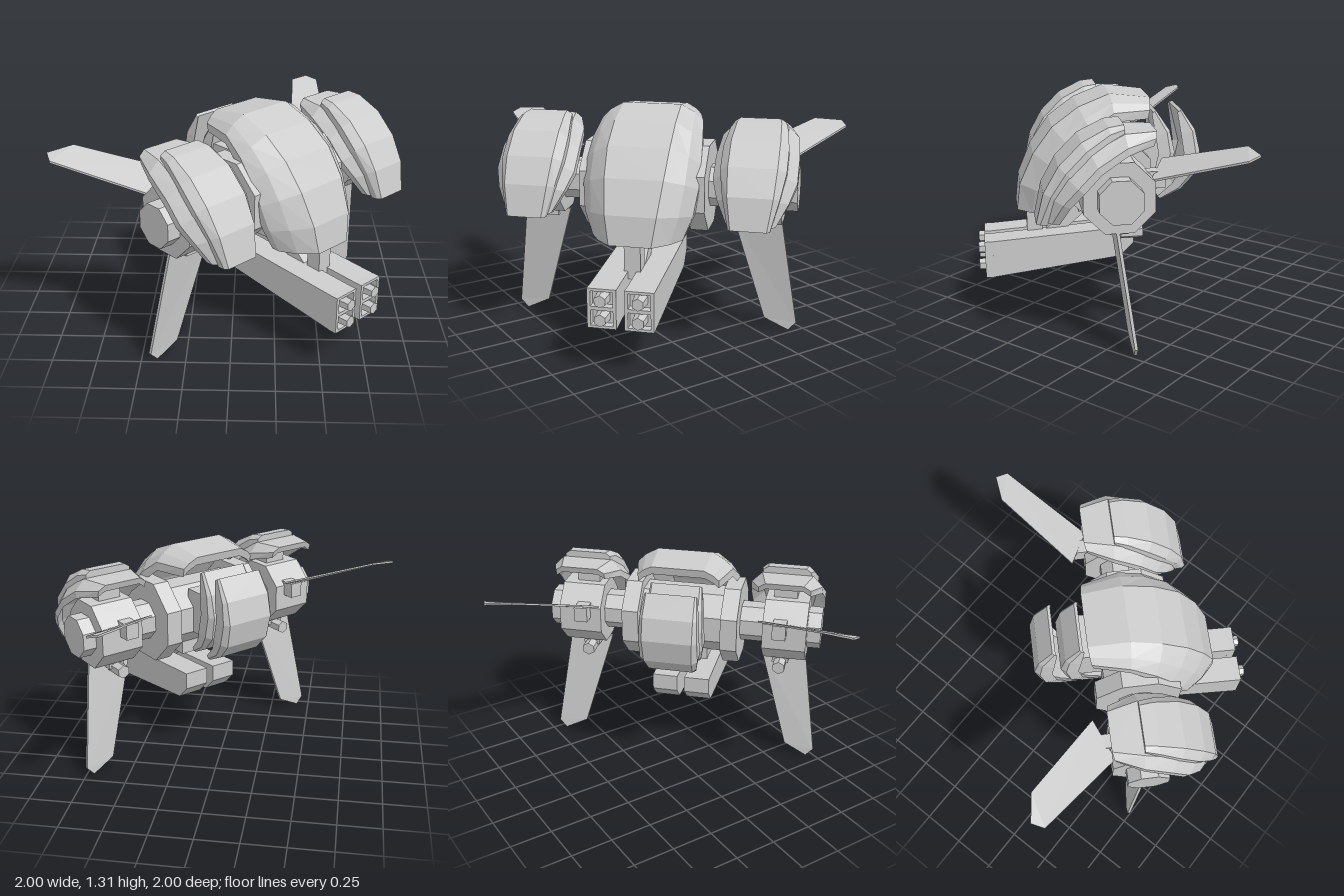
import * as THREE from 'three';

const mat = new THREE.MeshStandardMaterial({ color: 0xcccccc, flatShading: true, side: THREE.DoubleSide });

function add(parent, name, geo, x = 0, y = 0, z = 0) {
  const m = new THREE.Mesh(geo, mat);
  m.name = name;
  m.position.set(x, y, z);
  parent.add(m);
  return m;
}

// Solid skinned through loops of [x, y, z] points, ends closed, faces turned outward
function loft(loops) {
  const n = loops[0].length, tris = [];
  const quad = (a, b, c, d) => tris.push([a, b, c], [a, c, d]);
  for (let k = 0; k + 1 < loops.length; k++)
    for (let i = 0; i < n; i++) {
      const j = (i + 1) % n;
      quad(loops[k][i], loops[k][j], loops[k + 1][j], loops[k + 1][i]);
    }
  const first = loops[0], last = loops[loops.length - 1];
  for (let i = 0; i < Math.floor(n / 2); i++) {
    const j = n - 1 - i;
    if (j - 1 <= i) break;
    quad(first[i], first[j], first[j - 1], first[i + 1]);
    quad(last[i], last[i + 1], last[j - 1], last[j]);
  }
  const v = (p) => new THREE.Vector3(...p), o = v(first[0]);
  const volume = tris.reduce((s, [a, b, c]) => s + v(a).sub(o).dot(v(b).sub(o).cross(v(c).sub(o))), 0);
  if (volume < 0) tris.forEach((t) => t.reverse());
  const geo = new THREE.BufferGeometry();
  geo.setAttribute('position', new THREE.Float32BufferAttribute(tris.flat(2), 3));
  geo.computeVertexNormals();
  return geo;
}

// Curved armour plate: stations are [z, y, tilt in degrees, ridge half width, edge half width, edge drop, thickness];
// facets are the [width, drop] fractions of each corner from the edge to the ridge
function armour(cx, thickness, stations, facets = [[1, 1], [0, 0]]) {
  return loft(stations.map(([z, y, deg, a, b, d, t = thickness]) => {
    const r = THREE.MathUtils.degToRad(deg), s = Math.sin(r), c = Math.cos(r);
    const half = facets.map(([f, g]) => [a + f * (b - a), -d * g]);
    const outer = [...half.map(([u, h]) => [-u, h]), ...half.toReversed()];
    const section = [...outer, ...outer.map(([u, h]) => [u, h - t]).reverse()];
    return section.map(([u, h]) => [cx + u, y + h * c, z + h * s]);
  }));
}

// Thin plate around a polygon, thickened along a vector
function plate(points, [dx, dy, dz]) {
  return loft([-1, 1].map((k) => points.map(([x, y, z]) => [x + k * dx, y + k * dy, z + k * dz])));
}

// Side profile of [z, y] points extruded across x
function slab(profile, width) {
  const shape = new THREE.Shape(profile.map(([z, y]) => new THREE.Vector2(z, y)));
  const geo = new THREE.ExtrudeGeometry(shape, { depth: width, bevelEnabled: false });
  return geo.translate(0, 0, -width / 2).rotateY(-Math.PI / 2);
}

// Octagonal drum lying across x
function drum(r, len) {
  return new THREE.CylinderGeometry(r, r, len, 8).rotateY(Math.PI / 8).rotateZ(Math.PI / 2);
}

const box = (w, h, d) => new THREE.BoxGeometry(w, h, d);
const AXIS_Y = 0.87, AXIS_Z = 0.29;

function buildBody(g) {
  add(g, 'bodyCore', drum(0.2, 0.52), 0, AXIS_Y, AXIS_Z);
  add(g, 'bodyKeel', box(0.3, 0.14, 0.24), 0, 0.69, 0.32);
  add(g, 'axle', drum(0.12, 1.05), 0, AXIS_Y, AXIS_Z);
  add(g, 'domeArmour', armour(0, 0.05, [
    [0.02, 1.28, -12, 0.155, 0.24, 0.06],
    [0.25, 1.31, 5, 0.165, 0.29, 0.09],
    [0.43, 1.24, 27, 0.17, 0.31, 0.12],
    [0.58, 1.13, 45, 0.17, 0.32, 0.15],
    [0.69, 0.98, 63, 0.16, 0.32, 0.165],
    [0.77, 0.8, 80, 0.14, 0.3, 0.18],
    [0.79, 0.64, 90, 0.115, 0.25, 0.17],
  ], [[1, 1], [0.62, 0.48], [0, 0]]));
  // Two tapered crescent plates covering the back
  for (const [name, shift] of [['rearArmourOuter', 0], ['rearArmourInner', 0.15]])
    add(g, name, armour(0, 0.07, [
      [-0.17, 1.2, -60, 0.14, 0.15, 0.01, 0.02],
      [-0.25, 1.08, -72, 0.145, 0.165, 0.02],
      [-0.28, 0.95, -90, 0.145, 0.17, 0.03],
      [-0.25, 0.81, -108, 0.14, 0.17, 0.03],
      [-0.17, 0.72, -125, 0.13, 0.15, 0.02, 0.05],
      [-0.05, 0.66, -140, 0.12, 0.13, 0.01, 0.02],
    ]), 0, 0, shift);
  add(g, 'rearBlock', box(0.26, 0.26, 0.2), 0, 0.92, 0.06);
  // Struts that carry the guns
  add(g, 'frontStrut', box(0.09, 0.26, 0.09), 0, 0.57, 0.69);
  add(g, 'slantedStrut', box(0.09, 0.36, 0.08), 0, 0.58, 0.46).rotation.x = -0.85;
  add(g, 'strutBrace', box(0.12, 0.1, 0.38), 0, 0.71, 0.55);
}

function buildGun(g, s) {
  const x = s * 0.1, faceY = 0.363;
  add(g, 'gunPod', slab([[0.12, 0.52], [0.12, 0.42], [0.2, 0.34], [0.94, 0.255], [0.94, 0.472]], 0.155), x);
  // Frame with two recessed openings, one muzzle in each
  const rect = (C, x0, y0, x1, y1) => new C([[x0, y0], [x1, y0], [x1, y1], [x0, y1]].map((p) => new THREE.Vector2(...p)));
  const frame = rect(THREE.Shape, -0.078, -0.109, 0.078, 0.109);
  for (const k of [-1, 1]) {
    frame.holes.push(rect(THREE.Path, -0.06, k * 0.052 - 0.042, 0.06, k * 0.052 + 0.042));
    const muzzle = new THREE.CylinderGeometry(0.034, 0.04, 0.09, 6).rotateX(Math.PI / 2);
    add(g, 'muzzle', muzzle, x, faceY + k * 0.052, 0.975);
  }
  add(g, 'gunFrame', new THREE.ExtrudeGeometry(frame, { depth: 0.045, bevelEnabled: false }), x, faceY, 0.94);
}

function buildSide(g, s) {
  add(g, 'collar', drum(0.26, 0.1), s * 0.3, AXIS_Y, AXIS_Z);
  add(g, 'nacelleBody', drum(0.205, 0.26), s * 0.625, AXIS_Y, 0.28);
  add(g, 'nacelleCap', drum(0.125, 0.09), s * 0.79, AXIS_Y, 0.28);
  add(g, 'armourMount', box(0.14, 0.14, 0.14), s * 0.61, 1.08, 0.32);

  // Layered armour over the nacelle
  add(g, 'nacelleArmourLower', armour(s * 0.613, 0.04, [
    [0.08, 1.21, -18, 0.11, 0.15, 0.03],
    [0.25, 1.21, 5, 0.15, 0.21, 0.06],
    [0.43, 1.12, 28, 0.16, 0.225, 0.07],
    [0.55, 1.0, 48, 0.16, 0.225, 0.07],
    [0.62, 0.88, 68, 0.14, 0.19, 0.05],
    [0.66, 0.75, 85, 0.1, 0.13, 0.03],
  ]));
  add(g, 'nacelleArmourUpper', armour(s * 0.61, 0.04, [
    [0.25, 1.25, 0, 0.11, 0.14, 0.02],
    [0.33, 1.24, 12, 0.12, 0.155, 0.03],
    [0.47, 1.17, 30, 0.13, 0.175, 0.045],
    [0.59, 1.05, 50, 0.13, 0.175, 0.045],
    [0.67, 0.91, 70, 0.12, 0.15, 0.04],
    [0.71, 0.74, 85, 0.095, 0.11, 0.02],
  ]));

  // Fins, with hinges at their roots
  add(g, 'upperFin', plate([[0.48, 1.0, 0.01], [0.87, 1.145, -0.36], [1.03, 1.135, -0.38],
    [1.06, 1.115, -0.31], [0.7, 0.94, 0.11]].map(([x, y, z]) => [s * x, y, z]), [0, 0.006, 0]));
  add(g, 'lowerFin', plate([[0.48, 0.68, 0.29], [0.66, 0.07, 0.22], [0.8, 0, 0.21],
    [0.845, 0.05, 0.21], [0.75, 0.68, 0.29]].map(([x, y, z]) => [s * x, y, z]), [0, 0, 0.009]));
  add(g, 'upperFinHinge', box(0.08, 0.09, 0.1), s * 0.6, 0.93, 0.07);
  add(g, 'lowerFinHinge', new THREE.CylinderGeometry(0.04, 0.04, 0.12, 6).rotateX(Math.PI / 2), s * 0.6, 0.64, 0.2);
  add(g, 'lowerFinBlock', box(0.1, 0.06, 0.1), s * 0.6, 0.67, 0.27);
}

export function createModel() {
  const model = new THREE.Group();
  const craft = new THREE.Group();
  craft.name = 'craft';
  craft.rotation.y = Math.PI / 4;
  model.add(craft);
  buildBody(craft);
  for (const s of [-1, 1]) {
    buildGun(craft, s);
    buildSide(craft, s);
  }
  return model;
}
